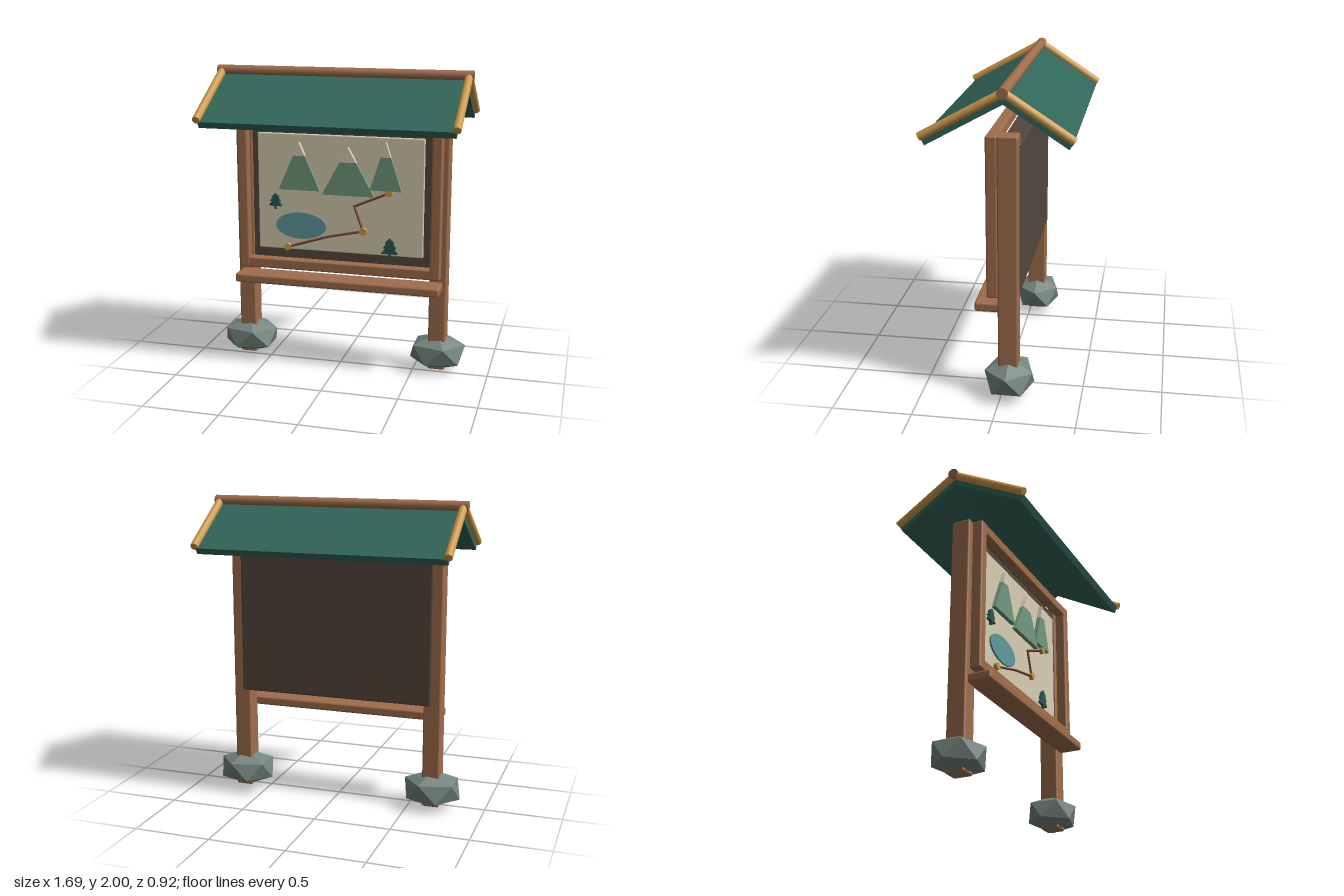
import * as THREE from 'three';
import { RoundedBoxGeometry } from 'three/addons/geometries/RoundedBoxGeometry.js';

const mat = (color, flatShading = false) => new THREE.MeshStandardMaterial({ color, flatShading });

export function createModel() {
  const model = new THREE.Group();
  model.name = 'trailMapBoard';
  const wood = mat(0xa06e4c), dark = mat(0x54473c), paper = mat(0xd8ceb2), roofGreen = mat(0x32665a);
  const gold = mat(0xcf9c4c), stone = mat(0x74857e, true), hill = mat(0x729a80), snow = mat(0xdad2bc);
  const water = mat(0x609a9e), trail = mat(0x7c4636), pine = mat(0x285a50);

  const add = (name, geometry, material, x = 0, y = 0, z = 0, parent = model) => {
    const mesh = new THREE.Mesh(geometry, material);
    mesh.name = name;
    mesh.position.set(x, y, z);
    parent.add(mesh);
    return mesh;
  };
  // Softened box given by its limits on each axis
  const box = (name, material, [x0, x1], [y0, y1], [z0, z1], r = 0.012) =>
    add(name, new RoundedBoxGeometry(x1 - x0, y1 - y0, z1 - z0, 2, r), material,
      (x0 + x1) / 2, (y0 + y1) / 2, (z0 + z1) / 2);
  // Flat cut-out with thickness
  const cutout = (name, points, z, depth, material, parent) => {
    const shape = new THREE.Shape(points.map(([x, y]) => new THREE.Vector2(x, y)));
    return add(name, new THREE.ExtrudeGeometry(shape, { depth, bevelEnabled: false }), material, 0, 0, z, parent);
  };

  // Posts standing in faceted rocks
  for (const side of [-1, 1]) {
    const x = side * 0.658;
    box('post', wood, [x - 0.057, x + 0.057], [0.02, 1.69], [-0.11, 0.015]);
    const rock = new THREE.IcosahedronGeometry(1, 0);
    rock.rotateZ(-Math.atan2(0.526, 0.851));
    rock.scale(0.207, 0.128, 0.175);
    add('footRock', rock, stone, x, 0.13, -0.05);
  }

  // Board, frame and shelf
  box('backBoard', dark, [-0.65, 0.65], [0.7, 1.635], [-0.12, 0.005]);
  box('mapSheet', paper, [-0.562, 0.558], [0.785, 1.57], [-0.005, 0.022], 0.008);
  for (const side of [-1, 1]) {
    const x = side * 0.647;
    box('frameSide', wood, [x - 0.034, x + 0.034], [0.66, 1.68], [0.018, 0.09]);
  }
  box('frameBottom', wood, [-0.67, 0.67], [0.66, 0.73], [0.018, 0.088]);
  box('frameTop', wood, [-0.67, 0.67], [1.61, 1.68], [0.018, 0.088]);
  box('shelf', wood, [-0.69, 0.69], [0.57, 0.63], [0, 0.165], 0.015);

  // Relief map
  const map = new THREE.Group();
  map.name = 'reliefMap';
  model.add(map);
  const front = 0.02;
  const peaks = [[-0.27, 1.52, 0.14, 1.2, 1.43], [0.06, 1.5, 0.175, 1.18, 1.4], [0.31, 1.545, 0.105, 1.225, 1.445]];
  for (const [x, top, half, base, line] of peaks) {
    const w = half * (top - line) / (top - base);
    cutout('mountain', [[x - half, base], [x + half, base], [x + w, line], [x - w, line]], front, 0.03, hill, map);
    cutout('snowCap', [[x - w, line], [x + w, line], [x, top]], front, 0.032, snow, map);
  }
  const lake = new THREE.CylinderGeometry(1, 1, 0.014, 32);
  lake.rotateX(Math.PI / 2);
  lake.scale(0.173, 0.09, 1);
  add('lake', lake, water, -0.265, 0.955, front + 0.007, map);

  // Trail of straight rods with round markers
  const stops = [[-0.355, 0.805], [-0.08, 0.892], [0.16, 0.945], [0.1, 1.11], [0.33, 1.21]];
  for (let i = 0; i < stops.length - 1; i++) {
    const [ax, ay] = stops[i], [bx, by] = stops[i + 1];
    const rod = new THREE.CylinderGeometry(0.008, 0.008, Math.hypot(bx - ax, by - ay) + 0.006, 8);
    add('trail', rod, trail, (ax + bx) / 2, (ay + by) / 2, front + 0.013, map)
      .rotation.z = Math.atan2(by - ay, bx - ax) - Math.PI / 2;
  }
  for (const i of [0, 2, 4]) {
    const disc = new THREE.CylinderGeometry(0.024, 0.024, 0.028, 16);
    disc.rotateX(Math.PI / 2);
    add('trailMarker', disc, gold, ...stops[i], front + 0.014, map);
  }

  // Small pines
  for (const [x, y, s] of [[-0.44, 1.06, 0.11], [0.338, 0.777, 0.132]]) {
    const half = [[0.06, 0], [0.06, 0.2], [0.42, 0.2], [0.22, 0.48], [0.34, 0.48], [0.16, 0.74], [0.25, 0.74]];
    const outline = [...half, [0, 1], ...half.map(([a, b]) => [-a, b]).reverse()];
    cutout('pine', outline.map(([a, b]) => [x + a * s, y + b * s]), front, 0.022, pine, map);
  }

  // Roof slopes with pole trims, each hung from the ridge line
  const ridgeY = 1.967, ridgeZ = -0.043;
  for (const [dir, endZ, endY] of [[1, 0.442, 1.698], [-1, -0.448, 1.703]]) {
    const run = Math.abs(endZ - ridgeZ), drop = ridgeY - endY, length = Math.hypot(run, drop);
    const slope = new THREE.Group();
    slope.name = dir > 0 ? 'frontRoof' : 'backRoof';
    slope.position.set(0, ridgeY, ridgeZ);
    slope.rotation.x = dir * Math.atan2(drop, run);
    model.add(slope);
    add('roofPanel', new THREE.BoxGeometry(1.62, 0.046, length), roofGreen, 0, -0.036, dir * length / 2, slope);
    for (const side of [-1, 1]) {
      const pole = new THREE.CylinderGeometry(0.026, 0.026, length, 12);
      pole.rotateX(Math.PI / 2);
      add('edgePole', pole, gold, side * 0.815, 0, dir * length / 2, slope);
    }
  }
  const ridge = new THREE.CylinderGeometry(0.033, 0.033, 1.69, 12);
  ridge.rotateZ(Math.PI / 2);
  add('ridgePole', ridge, wood, 0, ridgeY, ridgeZ);

  return model;
}
